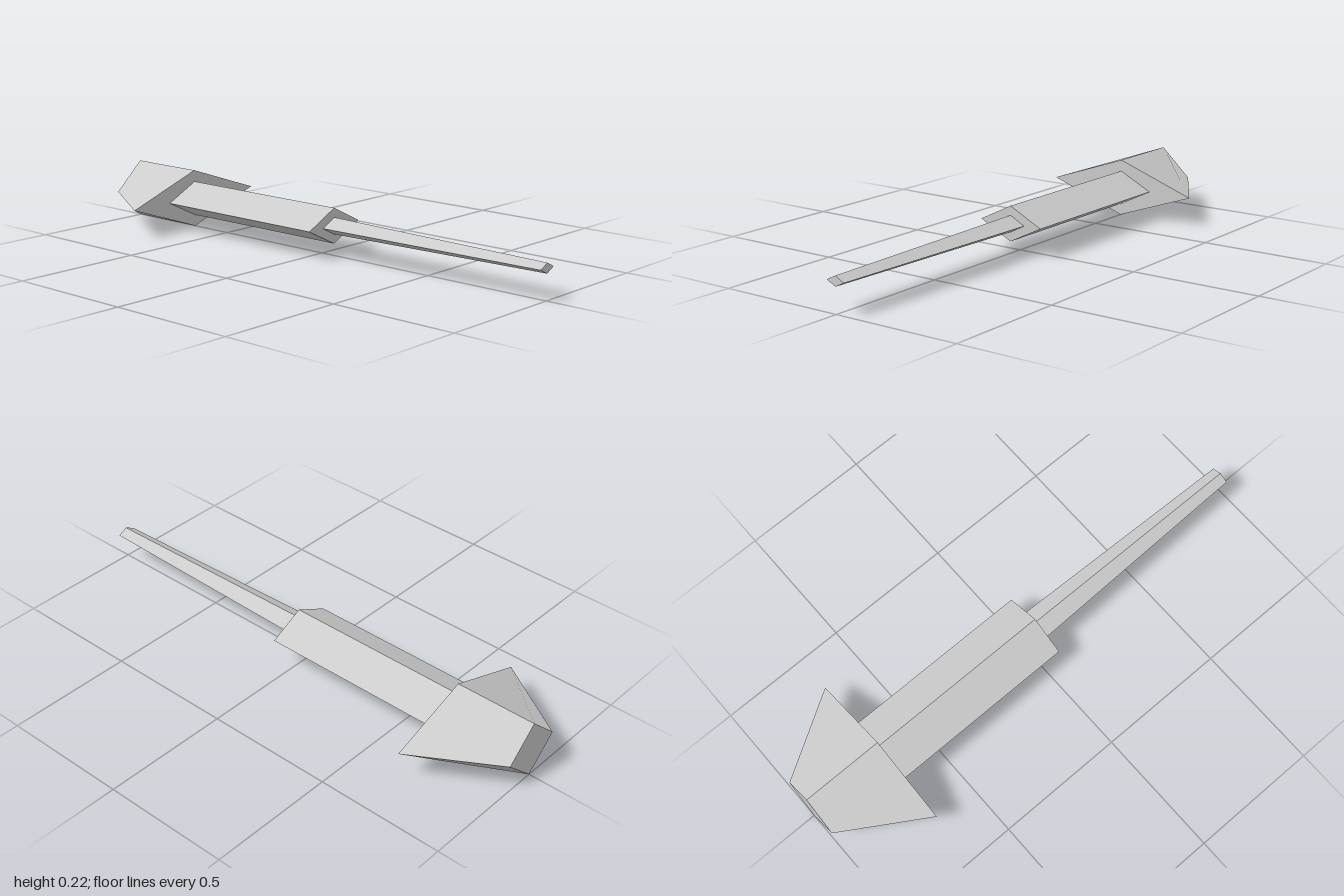
import * as THREE from 'three';

const CENTRE_Y = 0.1125;

// Diamond cross-section, counter-clockwise seen from +z
const diamond = ({ z, w, h }) =>
  [[w, 0], [0, h], [-w, 0], [0, -h]].map(([x, y]) => new THREE.Vector3(x, y, z));

// Solid between two diamond sections, one flat normal for each four-cornered face
function diamondPrism(front, back) {
  const F = diamond(front), B = diamond(back);
  const positions = [], normals = [];
  const quad = (a, b, c, d, splitAtA) => {
    const n = c.clone().sub(a).cross(d.clone().sub(b)).normalize();
    const corners = splitAtA ? [a, b, c, a, c, d] : [a, b, d, b, c, d];
    for (const p of corners) {
      positions.push(p.x, p.y, p.z);
      normals.push(n.x, n.y, n.z);
    }
  };
  for (let i = 0; i < 4; i++) {
    const j = (i + 1) % 4;
    // the split runs from the wide front corner to the rear ridge
    quad(F[i], B[i], B[j], F[j], i % 2 === 0);
  }
  quad(F[0], F[1], F[2], F[3], true);
  quad(B[3], B[2], B[1], B[0], true);

  const geometry = new THREE.BufferGeometry();
  geometry.setAttribute('position', new THREE.Float32BufferAttribute(positions, 3));
  geometry.setAttribute('normal', new THREE.Float32BufferAttribute(normals, 3));
  return geometry;
}

export function createModel() {
  const grey = new THREE.MeshStandardMaterial({ color: 0xcccccc });
  grey.name = 'light grey';

  const model = new THREE.Group();
  model.name = 'model';

  const addPart = (name, front, back) => {
    const mesh = new THREE.Mesh(diamondPrism(front, back), grey);
    mesh.name = name;
    mesh.position.y = CENTRE_Y;
    model.add(mesh);
  };

  // Slim tapering barrel
  addPart('barrel', { z: 1, w: 0.0375, h: 0.0187 }, { z: 0.06, w: 0.0625, h: 0.032 });
  // Straight middle body
  addPart('body', { z: 0.06, w: 0.1355, h: 0.0675 }, { z: -0.68, w: 0.1355, h: 0.0675 });
  // Wide rear block, narrowing sideways towards the back
  addPart('rearBlock', { z: -0.68, w: 0.319, h: 0.1125 }, { z: -1, w: 0.122, h: 0.1125 });

  return model;
}
